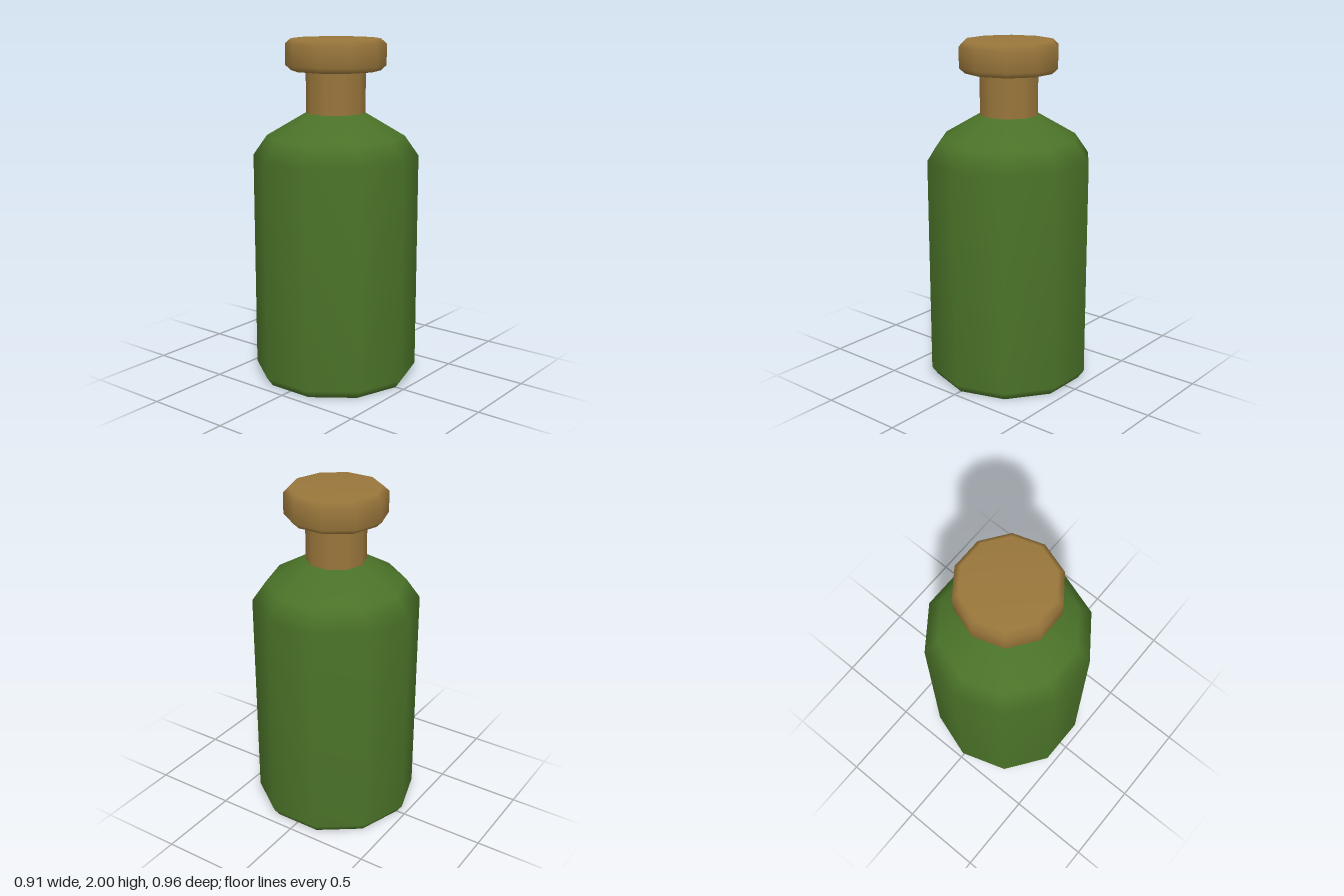
import * as THREE from 'three';

const SIDES = 10;

export function createModel() {
  const glass = new THREE.MeshStandardMaterial({ color: 0x4a7228 });
  glass.name = 'greenGlass';
  const cork = new THREE.MeshStandardMaterial({ color: 0x99763b });
  cork.name = 'brownCork';

  const group = new THREE.Group();
  group.name = 'bottle';

  // Turn a [radius, height] profile into a smooth ten-sided part
  function turned(name, profile, material) {
    const points = profile.map(([r, y]) => new THREE.Vector2(r, y));
    const mesh = new THREE.Mesh(new THREE.LatheGeometry(points, SIDES), material);
    mesh.name = name;
    group.add(mesh);
  }

  // Body with bevelled base and sloping shoulders
  turned('body', [
    [0, 0], [0.445, 0], [0.481, 0.05], [0.481, 1.33],
    [0.4, 1.445], [0.17, 1.58], [0, 1.58],
  ], glass);

  // Cork neck between shoulders and cap
  turned('neck', [[0.172, 1.575], [0.172, 1.825]], cork);

  // Wide bevelled cap
  turned('cap', [
    [0, 1.82], [0.257, 1.82], [0.29, 1.85], [0.29, 1.97], [0.257, 2], [0, 2],
  ], cork);

  return group;
}
